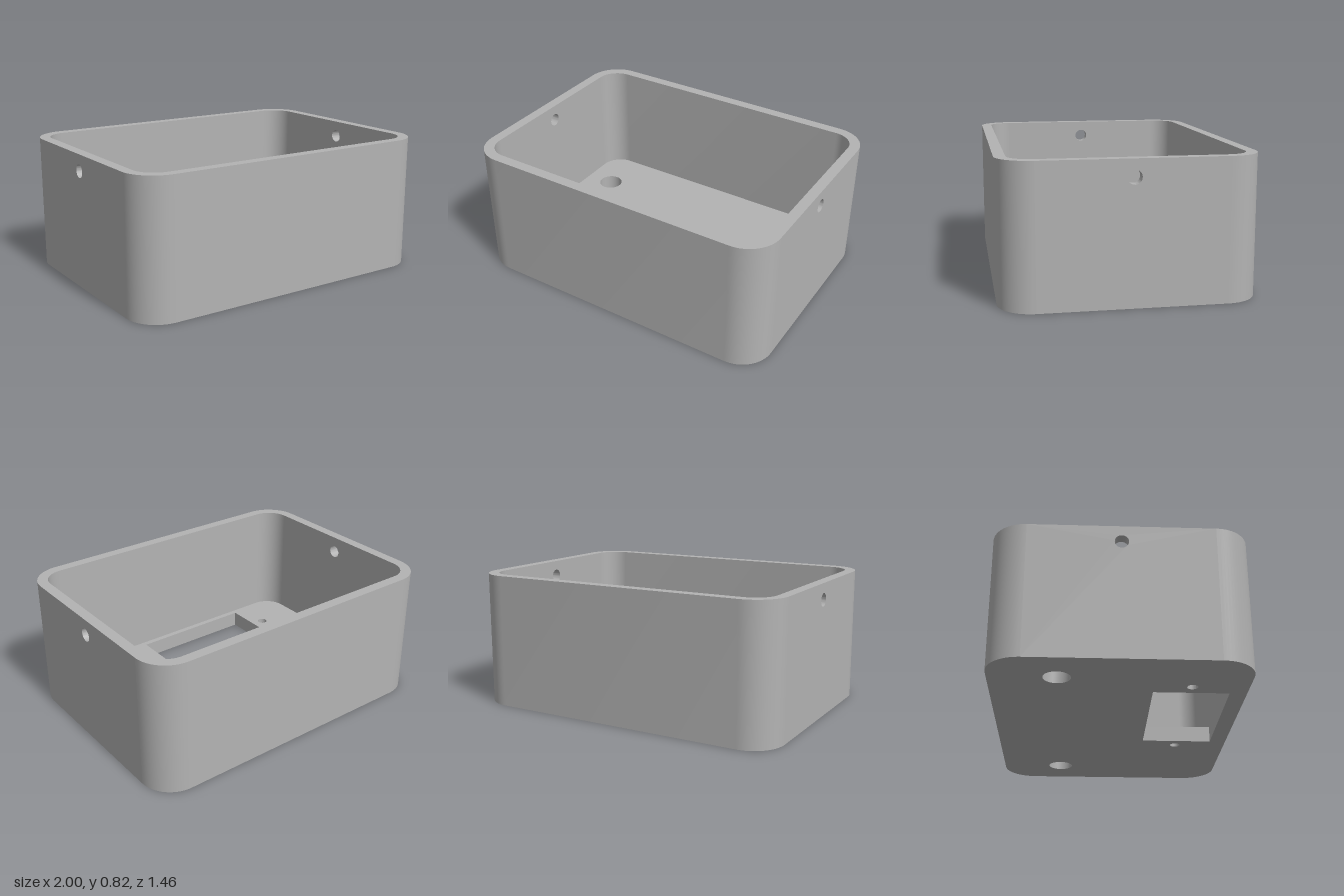
import * as THREE from 'three';
import { toCreasedNormals } from 'three/addons/utils/BufferGeometryUtils.js';

// Plan coordinates: x to the side, y = -z (towards the back), extruded up.
const W = 1, D = 0.73, H = 0.82, WALL = 0.065, FLOOR = 0.1, R = 0.2;
const SIDE_HOLE = { y: 0.72, r: 0.04 };

const circle = (cx, cy, r, n = 40) => Array.from({ length: n }, (_, i) => {
  const a = (i / n) * Math.PI * 2;
  return new THREE.Vector2(cx + r * Math.cos(a), cy + r * Math.sin(a));
});

const rect = (x0, x1, y0, y1) =>
  [[x0, y0], [x1, y0], [x1, y1], [x0, y1]].map(p => new THREE.Vector2(...p));

// Front half of a rounded rectangle, running from -x to +x
function frontHalf(inset) {
  const r = R - inset, pts = [], n = 16;
  for (const [cx, start] of [[R - W, Math.PI], [W - R, Math.PI * 1.5]]) {
    for (let i = 0; i <= n; i++) {
      const a = start + (i / n) * Math.PI / 2;
      pts.push(new THREE.Vector2(cx + r * Math.cos(a), R - D + r * Math.sin(a)));
    }
  }
  return pts;
}
const halfTurn = pts => pts.map(p => new THREE.Vector2(-p.x, -p.y));
const outline = inset => [...frontHalf(inset), ...halfTurn(frontHalf(inset))];

// Flat face with holes, facing +z
function face(points, holes) {
  const shape = new THREE.Shape(points);
  shape.holes = holes.map(h => new THREE.Path(h));
  return new THREE.ShapeGeometry(shape);
}

// Upright skin along a line of points, facing to the right of its direction
function skin(points, lo, hi, closed = false) {
  const pos = [], line = closed ? [...points, points[0]] : points;
  for (let i = 0; i + 1 < line.length; i++) {
    const a = line[i], b = line[i + 1];
    pos.push(a.x, a.y, lo, b.x, b.y, lo, b.x, b.y, hi);
    pos.push(a.x, a.y, lo, b.x, b.y, hi, a.x, a.y, hi);
  }
  const g = new THREE.BufferGeometry();
  g.setAttribute('position', new THREE.Float32BufferAttribute(pos, 3));
  return toCreasedNormals(g, 0.6);
}

export function createModel() {
  const grey = new THREE.MeshStandardMaterial({ color: 0xb3b3b3 });
  grey.name = 'grey plastic';
  const box = new THREE.Group();
  box.name = 'enclosure';
  const add = (name, geometry) => {
    const mesh = new THREE.Mesh(geometry, grey);
    mesh.name = name;
    box.add(mesh);
  };

  // Floor with a window, two screw holes and two large holes
  const cutouts = [
    rect(-0.57, 0.22, -0.63, -0.194),
    circle(-0.65, -0.41, 0.031), circle(0.295, -0.41, 0.031),
    circle(-0.75, 0.345, 0.078), circle(0.75, 0.345, 0.078),
  ];
  const flip = pts => pts.map(p => new THREE.Vector2(p.x, -p.y));
  add('floorTop', face(outline(WALL), cutouts).translate(0, 0, FLOOR));
  add('floorUnderside', face(flip(outline(0)), cutouts.map(flip)).rotateX(Math.PI));
  cutouts.forEach(c => add('floorCutout', skin([...c].reverse(), 0, FLOOR, true)));

  // Open rim
  add('rim', face(outline(0), [outline(WALL)]).translate(0, 0, H));

  // Front and back walls with the rounded corners
  for (const [name, turn] of [['front', p => p], ['back', halfTurn]]) {
    add(name + 'WallOutside', skin(turn(frontHalf(0)), 0, H));
    add(name + 'WallInside', skin(turn(frontHalf(WALL)).reverse(), FLOOR, H));
  }

  // Side walls, each with a round hole near the rim
  const X = new THREE.Vector3(1, 0, 0), Y = new THREE.Vector3(0, 1, 0), Z = new THREE.Vector3(0, 0, 1);
  const half = D - R;
  const hole = circle(0, SIDE_HOLE.y, SIDE_HOLE.r);
  for (const [name, s] of [['left', 1], ['right', -1]]) {
    const facing = d => new THREE.Matrix4().makeBasis(
      Y.clone().multiplyScalar(d), Z, X.clone().multiplyScalar(d));
    add(name + 'WallOutside', face(rect(-half, half, 0, H), [hole])
      .translate(0, 0, W).applyMatrix4(facing(s)));
    add(name + 'WallInside', face(rect(-half, half, FLOOR, H), [hole])
      .translate(0, 0, WALL - W).applyMatrix4(facing(-s)));
    add(name + 'WallHole', skin([...hole].reverse(), W - WALL, W, true)
      .applyMatrix4(facing(s)));
  }

  // Stand the plan upright
  box.rotation.x = -Math.PI / 2;
  const model = new THREE.Group();
  model.name = 'openBox';
  model.add(box);
  return model;
}
